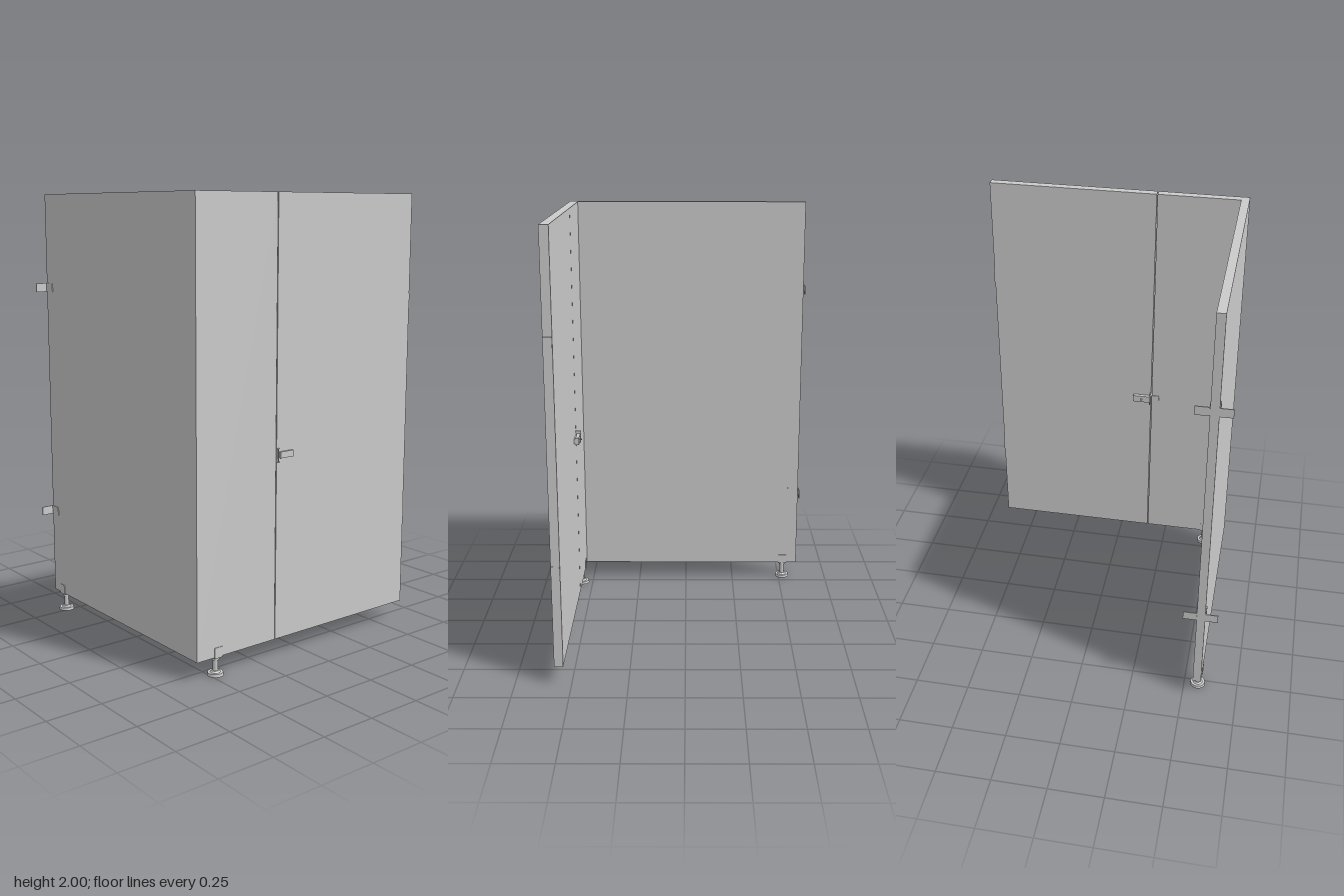
import * as THREE from 'three';

const grey = new THREE.MeshStandardMaterial({ color: 0xcccccc });

// Box given by its min and max corners
function box(parent, name, x0, x1, y0, y1, z0, z1) {
  const mesh = new THREE.Mesh(new THREE.BoxGeometry(x1 - x0, y1 - y0, z1 - z0), grey);
  mesh.position.set((x0 + x1) / 2, (y0 + y1) / 2, (z0 + z1) / 2);
  mesh.name = name;
  parent.add(mesh);
  return mesh;
}

// Adjustable foot: floor disc, stem and a U clip holding a panel that runs along x
function makeFoot(name) {
  const foot = new THREE.Group();
  foot.name = name;
  const cyl = (part, r0, r1, y0, y1, sides) => {
    const mesh = new THREE.Mesh(new THREE.CylinderGeometry(r1, r0, y1 - y0, sides), grey);
    mesh.position.y = (y0 + y1) / 2;
    mesh.name = part;
    foot.add(mesh);
  };
  cyl('footDisc', 0.036, 0.034, 0, 0.013, 16);
  cyl('footCollar', 0.022, 0.016, 0.013, 0.02, 16);
  cyl('footStem', 0.011, 0.011, 0.02, 0.082, 12);
  cyl('footNut', 0.017, 0.017, 0.068, 0.077, 6);
  box(foot, 'clipBase', -0.02, 0.02, 0.08, 0.084, -0.022, 0.022);
  for (const s of [-1, 1]) {
    const z = s * 0.021;
    box(foot, 'clipCheek', -0.02, 0.02, 0.08, 0.127, z - 0.0015, z + 0.0015);
  }
  return foot;
}

export function createModel() {
  const model = new THREE.Group();
  model.name = 'cubicle';

  // Panels
  const bottom = 0.085, top = 2, zIn = 0.535, zOut = 0.575;
  box(model, 'sidePanel', -0.583, -0.545, bottom, top, -0.593, zIn);
  box(model, 'fixedFrontPanel', -0.583, -0.163, bottom, top, zIn, zOut);
  box(model, 'door', -0.159, 0.634, bottom, top, zIn, zOut);

  // Feet under the side panel and the fixed front panel
  const rearFoot = makeFoot('rearFoot');
  rearFoot.position.set(-0.564, 0, -0.52);
  rearFoot.rotation.y = Math.PI / 2;
  const frontFoot = makeFoot('frontFoot');
  frontFoot.position.set(-0.473, 0, 0.555);
  model.add(rearFoot, frontFoot);

  // Angle brackets on both faces of the side panel, against the wall
  for (const y of [0.49, 1.57]) {
    const bracket = new THREE.Group();
    bracket.name = 'wallBracket';
    box(bracket, 'outerWallPlate', -0.64, -0.583, y - 0.02, y + 0.02, -0.597, -0.593);
    box(bracket, 'innerWallPlate', -0.545, -0.483, y - 0.02, y + 0.02, -0.597, -0.593);
    box(bracket, 'outerPanelPlate', -0.586, -0.583, y - 0.02, y + 0.02, -0.597, -0.54);
    box(bracket, 'innerPanelPlate', -0.545, -0.542, y - 0.02, y + 0.02, -0.597, -0.54);
    model.add(bracket);
  }

  // Hinge plates on the free edge of the door
  for (const y of [0.525, 1.52])
    box(model, 'hingePlate', 0.634, 0.638, y - 0.033, y + 0.033, zIn + 0.002, zOut - 0.002);

  // Latch
  const latch = new THREE.Group();
  latch.name = 'latch';
  box(latch, 'edgePlate', -0.158, -0.154, 0.875, 0.935, 0.51, 0.585);
  for (const y of [0.875, 0.933])
    box(latch, 'edgePlateLip', -0.16, -0.148, y, y + 0.002, zOut, 0.584);
  box(latch, 'outerHandle', -0.143, -0.072, 0.891, 0.919, zOut, 0.584);
  box(latch, 'innerBacking', -0.14, -0.072, 0.893, 0.917, 0.527, zIn);
  box(latch, 'innerBolt', -0.154, -0.07, 0.888, 0.922, 0.512, 0.529);
  const knob = new THREE.Mesh(new THREE.CylinderGeometry(0.004, 0.004, 0.012, 10), grey);
  knob.rotation.x = Math.PI / 2;
  knob.position.set(-0.113, 0.905, 0.507);
  knob.name = 'boltKnob';
  latch.add(knob);
  box(latch, 'keeperPlate', -0.2, -0.163, 0.89, 0.92, 0.531, zIn);
  model.add(latch);

  return model;
}
